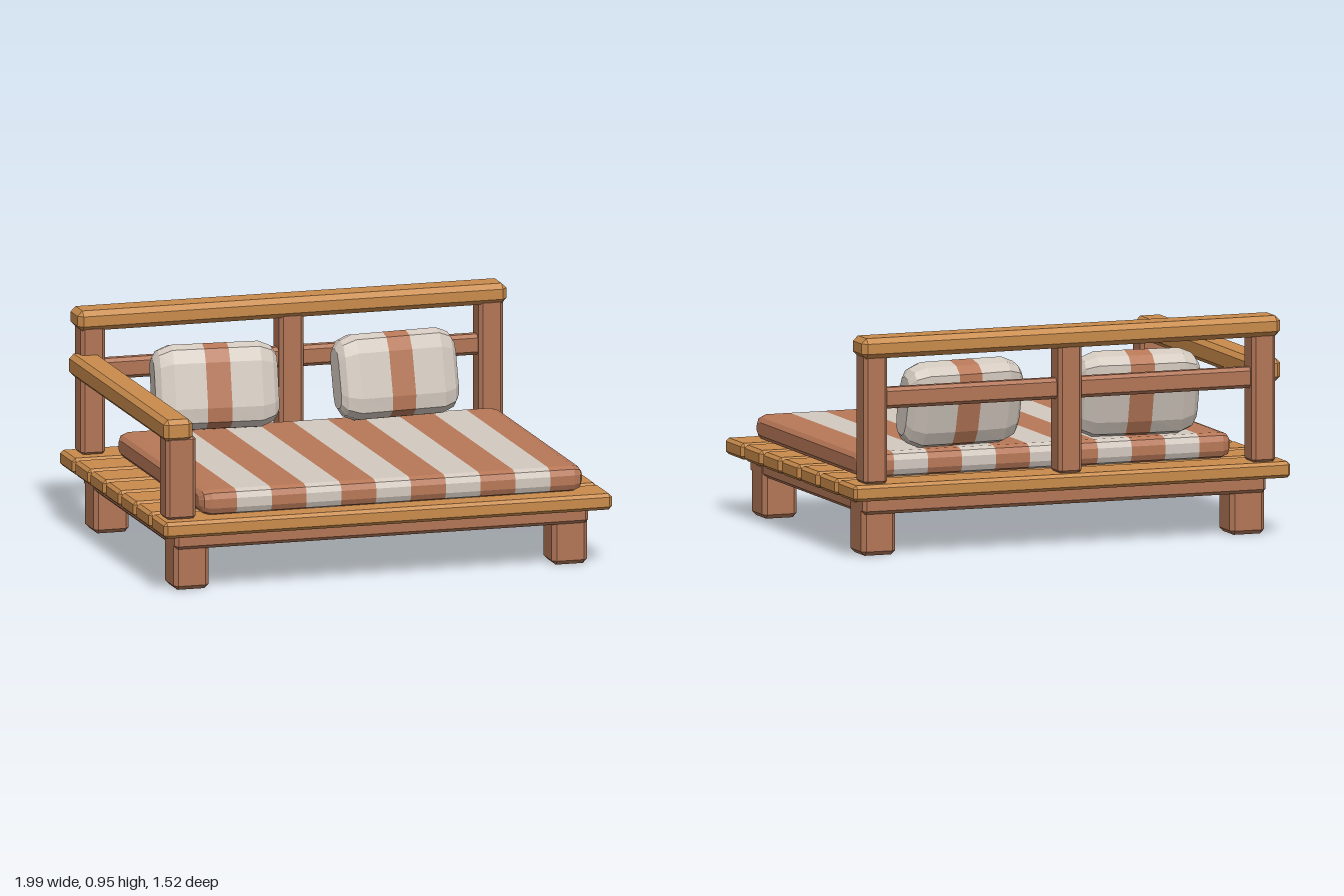
import * as THREE from 'three';
import { ConvexGeometry } from 'three/addons/geometries/ConvexGeometry.js';

const mat = (name, color) => {
  const m = new THREE.MeshStandardMaterial({ color, flatShading: true });
  m.name = name;
  return m;
};

// Chamfered box given by its min/max on each axis
function beam(name, material, [x0, x1], [y0, y1], [z0, z1], b = 0.015) {
  const h = [(x1 - x0) / 2, (y1 - y0) / 2, (z1 - z0) / 2];
  const pts = [];
  for (const sx of [-1, 1]) for (const sy of [-1, 1]) for (const sz of [-1, 1]) {
    for (let axis = 0; axis < 3; axis++) {
      const p = h.map((v, i) => (i === axis ? v : v - b));
      pts.push(new THREE.Vector3(sx * p[0], sy * p[1], sz * p[2]));
    }
  }
  const mesh = new THREE.Mesh(new ConvexGeometry(pts), material);
  mesh.position.set((x0 + x1) / 2, (y0 + y1) / 2, (z0 + z1) / 2);
  mesh.name = name;
  return mesh;
}

// Rounded rectangle in the y-z plane, three points per corner
function section(hy, hz, ry, rz) {
  const pts = [];
  [[1, 1], [-1, 1], [-1, -1], [1, -1]].forEach(([sy, sz], q) => {
    for (let i = 0; i < 3; i++) {
      const a = q * Math.PI / 2 + i * Math.PI / 4;
      pts.push([sy * (hy - ry) + ry * Math.cos(a), sz * (hz - rz) + rz * Math.sin(a)]);
    }
  });
  return pts;
}

// Cushion lofted along x; each ring is { x, pts }, bands[i] is the material index after ring i
function cushion(name, rings, bands, materials) {
  const pos = [];
  const geo = new THREE.BufferGeometry();
  const n = rings[0].pts.length;
  const v = (r, k) => [r.x, ...r.pts[k % n]];
  const tri = (...p) => p.forEach((q) => pos.push(...q));
  for (let i = 0; i < rings.length - 1; i++) {
    const start = pos.length / 3;
    const r = rings[i], s = rings[i + 1];
    for (let k = 0; k < n; k++) {
      tri(v(r, k), v(r, k + 1), v(s, k + 1));
      tri(v(r, k), v(s, k + 1), v(s, k));
      if (i === 0) tri([r.x, 0, 0], v(r, k + 1), v(r, k));
      if (i === rings.length - 2) tri([s.x, 0, 0], v(s, k), v(s, k + 1));
    }
    geo.addGroup(start, pos.length / 3 - start, bands[i]);
  }
  geo.setAttribute('position', new THREE.Float32BufferAttribute(pos, 3));
  geo.computeVertexNormals();
  const mesh = new THREE.Mesh(geo, materials);
  mesh.name = name;
  return mesh;
}

export function createModel() {
  const group = new THREE.Group();
  group.name = 'daybed';
  const lightWood = mat('light wood', 0xc98b4b);
  const darkWood = mat('reddish wood', 0xb27657);
  const terracotta = mat('terracotta fabric', 0xb87858);
  const cream = mat('cream fabric', 0xd3c9bf);
  const fabrics = [terracotta, cream];
  const add = (...args) => group.add(beam(...args));

  // Deck of seven planks over a thin backing board
  const pitch = 0.2205;
  for (let i = 0; i < 7; i++) {
    const z = (i - 3) * pitch;
    add('deckPlank', lightWood, [-0.995, 0.995], [0.25, 0.32], [z - 0.1, z + 0.1], 0.014);
  }
  add('deckBacking', lightWood, [-0.945, 0.945], [0.275, 0.307], [-0.72, 0.72], 0.005);

  // Under-frame rails and legs
  for (const s of [-1, 1]) {
    const span = (a, b) => (s > 0 ? [a, b] : [-b, -a]);
    add('longRail', darkWood, [-0.918, 0.918], [0.178, 0.262], span(0.57, 0.67));
    add('sideRail', darkWood, span(0.82, 0.915), [0.178, 0.275], [-0.665, 0.665]);
    for (const t of [-1, 1]) {
      const zs = t > 0 ? [0.5, 0.656] : [-0.656, -0.5];
      add('leg', darkWood, span(0.762, 0.918), [0, 0.24], zs, 0.018);
    }
  }

  // Backrest
  for (const x of [-0.885, -0.003, 0.882]) {
    add('backPost', darkWood, [x - 0.054, x + 0.054], [0.315, 0.88], [-0.73, -0.62]);
  }
  add('backMiddleRail', darkWood, [-0.85, 0.85], [0.635, 0.725], [-0.705, -0.645]);
  add('backTopRail', lightWood, [-0.955, 0.95], [0.858, 0.946], [-0.75, -0.607], 0.022);

  // Single armrest
  add('armPost', darkWood, [-0.968, -0.835], [0.315, 0.68], [0.59, 0.702]);
  add('armRail', lightWood, [-0.979, -0.85], [0.656, 0.753], [-0.69, 0.71], 0.02);

  // Striped mattress: eleven bands with rounded ends
  const half = 0.85, width = 2 * half / 11;
  const ring = (x, inset) => ({
    x, pts: section(0.055 - inset * 0.6, 0.63 - inset, 0.035 - inset * 0.4, 0.04),
  });
  const rings = [ring(-half, 0.045), ring(-half + 0.015, 0.015), ring(-half + 0.045, 0)];
  const bands = [0, 0, 0];
  for (let i = 1; i < 11; i++) {
    rings.push(ring(-half + i * width, 0));
    bands.push(i % 2);
  }
  rings.push(ring(half - 0.045, 0), ring(half - 0.015, 0.015), ring(half, 0.045));
  bands.push(0, 0);
  const mattress = cushion('mattress', rings, bands, fabrics);
  mattress.position.set(0.046, 0.373, 0.055);
  group.add(mattress);

  // Two leaning pillows with one central stripe
  const profile = [[-0.268, 0.7, 0.5], [-0.245, 0.88, 0.76], [-0.19, 1, 0.96], [-0.053, 1, 1],
    [0.053, 1, 1], [0.19, 1, 0.96], [0.245, 0.88, 0.76], [0.268, 0.7, 0.5]];
  const pillowRings = profile.map(([x, sy, sz]) => ({
    x, pts: section(0.182 * sy, 0.095 * sz, 0.085 * sy, 0.06 * sz),
  }));
  for (const s of [-1, 1]) {
    const pillow = cushion('pillow', pillowRings, [1, 1, 1, 0, 1, 1, 1], fabrics);
    pillow.position.set(s < 0 ? -0.388 : 0.412, 0.614, -0.493);
    pillow.rotation.set(-0.24, s * 0.08, 0, 'YXZ');
    group.add(pillow);
  }
  return group;
}
